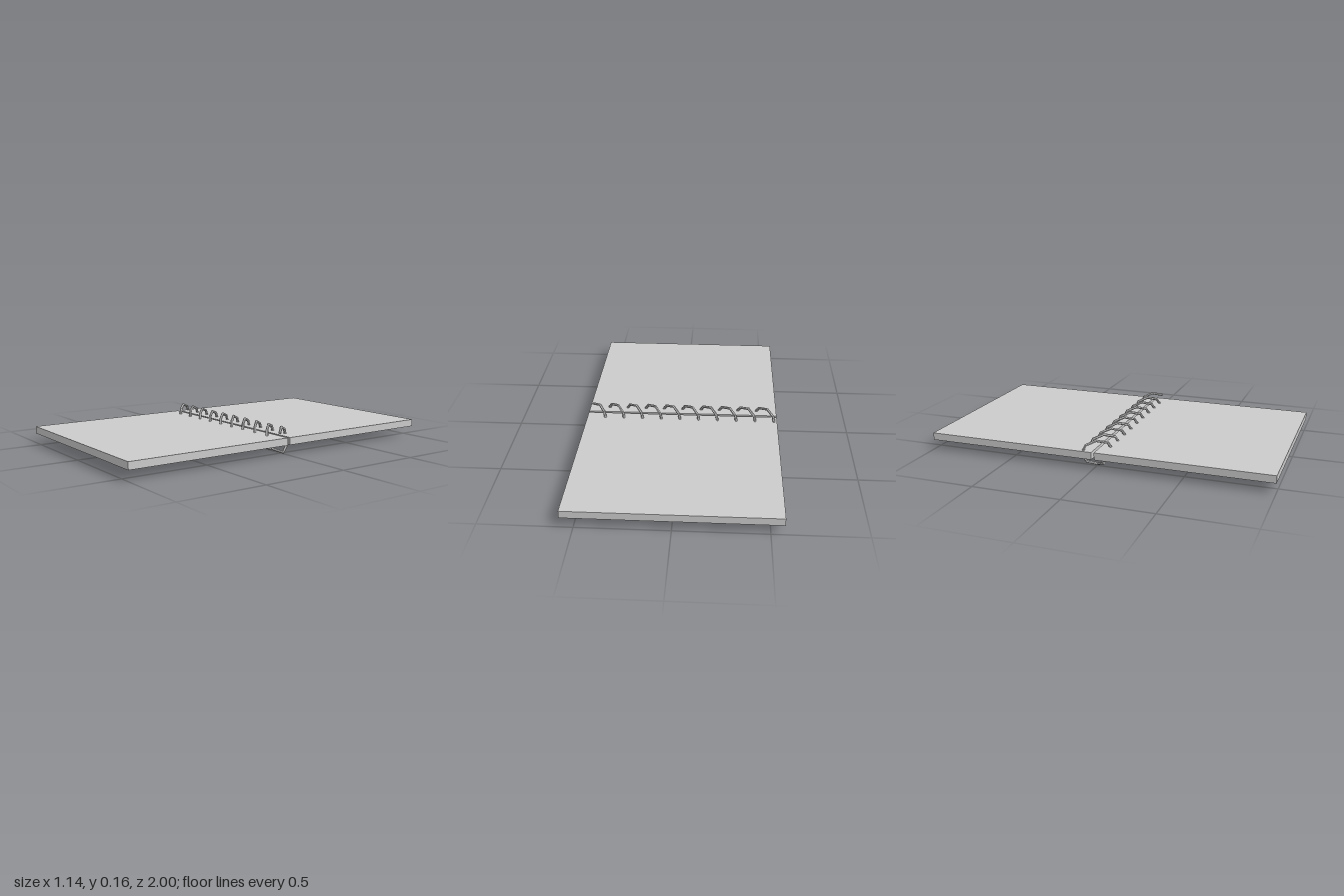
import * as THREE from 'three';

const WIDTH = 1.14, THICK = 0.042, MID_Y = 0.08, GAP = 0.008;
const PITCH = 0.1125, COIL_R = 0.07, WIRE_R = 0.008, STEPS = 8, TURNS = 10;

// Faceted, leaning coil: straight segments between eight corners per turn
class CoilCurve extends THREE.Curve {
  constructor() {
    super();
    this.corners = [];
    // x of each corner within one turn, from the bottom, round the back, over the top to the front
    const lean = [-0.492, -0.528, -0.556, -0.545, -0.512, -0.463, -0.438, -0.41];
    const count = (TURNS - 1) * STEPS + 5;
    for (let i = -1; i <= count; i++) {
      const turn = Math.floor(i / STEPS);
      const k = i - turn * STEPS;
      const a = (k / STEPS) * Math.PI * 2;
      this.corners.push(new THREE.Vector3(
        lean[k] + turn * PITCH,
        MID_Y - COIL_R * Math.cos(a),
        -COIL_R * Math.sin(a)));
    }
  }
  get segments() { return this.corners.length - 1; }
  getPoint(t, target = new THREE.Vector3()) {
    const s = t * this.segments;
    const i = Math.min(Math.floor(s + 1e-9), this.segments - 1);
    return target.copy(this.corners[i]).lerp(this.corners[i + 1], s - i);
  }
  // Rings must land exactly on the corners
  getPointAt(t, target) { return this.getPoint(t, target); }
  getTangentAt(t, target) { return this.getTangent(t, target); }
}

export function createModel() {
  const model = new THREE.Group();
  const mat = new THREE.MeshStandardMaterial({ color: 0xcccccc, flatShading: true });
  const add = (name, geometry, parent = model) => {
    const mesh = new THREE.Mesh(geometry, mat);
    mesh.name = name;
    parent.add(mesh);
    return mesh;
  };

  // Two flat covers with a narrow gap between them
  const depth = 1 - GAP;
  for (const [name, side] of [['frontCover', 1], ['backCover', -1]]) {
    add(name, new THREE.BoxGeometry(WIDTH, THICK, depth))
      .position.set(0, MID_Y, side * (GAP + depth / 2));
  }

  // Spiral binding wire
  const binding = new THREE.Group();
  binding.name = 'spiralBinding';
  model.add(binding);
  const curve = new CoilCurve();
  add('wire', new THREE.TubeGeometry(curve, curve.segments, WIRE_R, 6, false), binding);

  // Closed wire ends
  for (const [name, t, dir] of [['wireStart', 0, -1], ['wireEnd', 1, 1]]) {
    const cap = add(name, new THREE.CircleGeometry(WIRE_R, 6), binding);
    cap.position.copy(curve.getPoint(t));
    cap.quaternion.setFromUnitVectors(
      new THREE.Vector3(0, 0, 1), curve.getTangent(t).multiplyScalar(dir));
  }
  return model;
}
